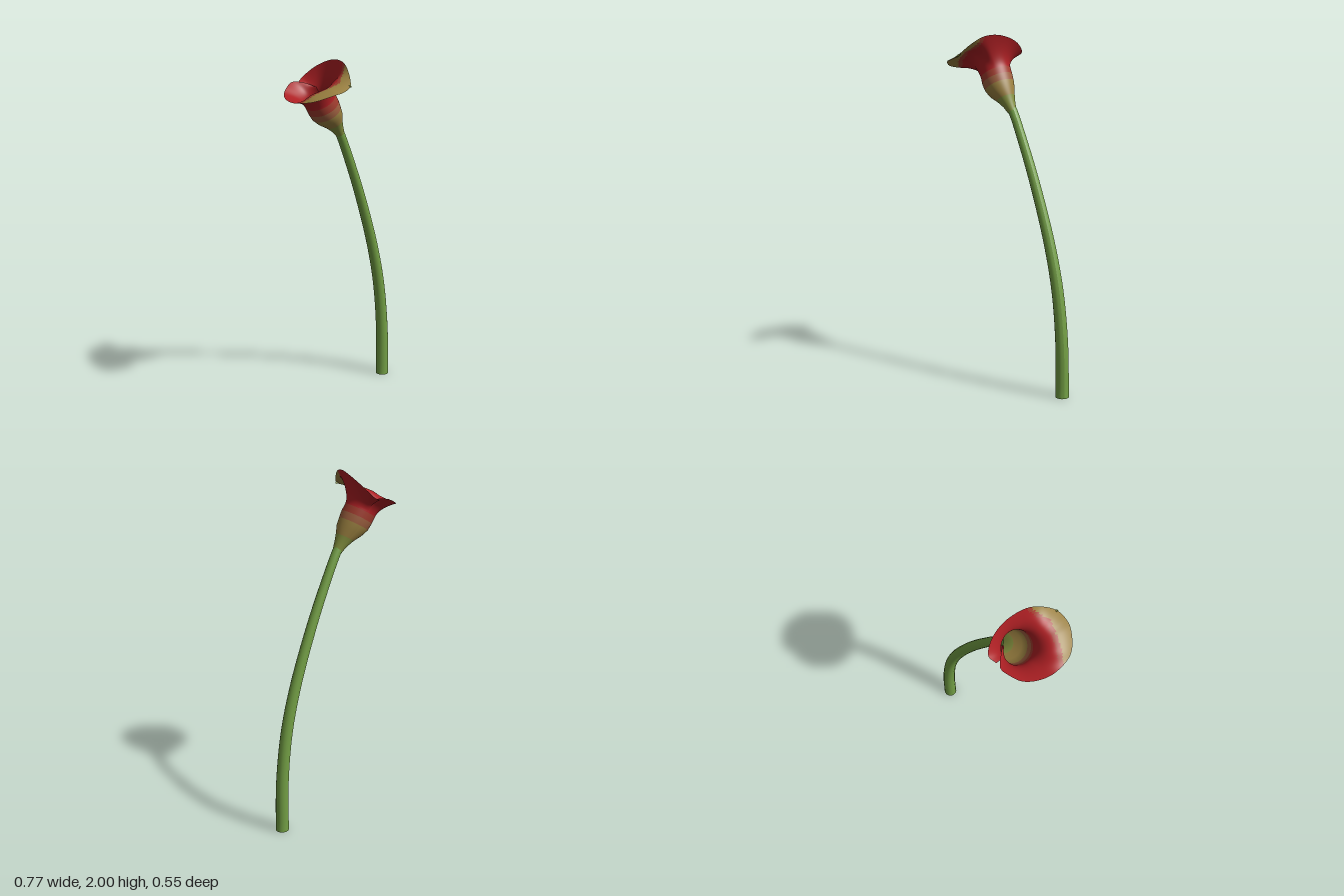
import * as THREE from 'three';

const mat = (name, color) => new THREE.MeshStandardMaterial({ name, color, side: THREE.DoubleSide });
const V = (x, y, z) => new THREE.Vector3(x, y, z);

// Surface through rows of points; pick(centre, row) chooses the material of each quad
function loft(rows, pick = () => 0, slots = 1) {
  const w = rows[0].length, lists = Array.from({ length: slots }, () => []);
  for (let r = 0; r < rows.length - 1; r++) {
    for (let c = 0; c < w - 1; c++) {
      const a = r * w + c, b = a + 1, d = a + w, e = d + 1;
      const mid = rows[r][c].clone().add(rows[r + 1][c + 1]).multiplyScalar(0.5);
      lists[pick(mid, r)].push(a, d, b, b, d, e);
    }
  }
  const geo = new THREE.BufferGeometry().setFromPoints(rows.flat());
  geo.setIndex(lists.flat());
  let start = 0;
  lists.forEach((l, i) => { geo.addGroup(start, l.length, i); start += l.length; });
  geo.computeVertexNormals();
  return geo;
}

export function createModel() {
  const group = new THREE.Group();
  const green = mat('stem green', 0x739f45);
  const olive = mat('neck olive', 0x84903f);
  const tan = mat('tan', 0x9a8040);
  const brown = mat('rosy brown', 0x9c5f3f);
  const rust = mat('rust red', 0xa03c2e);
  const red = mat('petal red', 0xab1f23);
  const add = (name, geo, material) => {
    const mesh = new THREE.Mesh(geo, material);
    mesh.name = name;
    group.add(mesh);
    return mesh;
  };

  // Curved, tapering stem lying in one upright plane
  const path = new THREE.CatmullRomCurve3([
    [0.342, 0], [0.336, 0.3], [0.303, 0.6], [0.24, 0.87], [0.13, 1.2], [0.042, 1.42], [-0.025, 1.57], [-0.055, 1.62],
  ].map(([x, y]) => V(x, y, -0.235 + (0.342 - x) * 0.48)));
  const stemRows = [];
  for (let i = 0; i <= 28; i++) {
    const t = i / 28, p = path.getPointAt(t), n = path.getTangentAt(t);
    if (i === 0) n.set(0, 1, 0);
    const u = V(1, 0, 0).addScaledVector(n, -n.x).normalize();
    const v = n.clone().cross(u);
    const r = 0.038 - 0.012 * Math.min(1, t * 1.1);
    stemRows.push(Array.from({ length: 17 }, (_, k) => {
      const a = -k / 16 * Math.PI * 2;
      return p.clone().addScaledVector(u, r * Math.cos(a)).addScaledVector(v, r * Math.sin(a));
    }));
  }
  add('stem', loft(stemRows), green);
  const cut = add('stemCut', new THREE.CircleGeometry(0.038, 16), green);
  cut.rotation.x = Math.PI / 2;
  cut.position.set(0.342, 0, -0.235);

  // Rim of the rolled petal, from the tucked inner edge round to the outer flap
  const rim = new THREE.CatmullRomCurve3([
    V(-0.16, 1.84, -0.07), V(-0.22, 1.865, -0.105), V(-0.28, 1.87, -0.13), V(-0.325, 1.85, -0.1),
    V(-0.365, 1.82, -0.05), V(-0.385, 1.803, 0.03), V(-0.378, 1.798, 0.12), V(-0.32, 1.815, 0.23),
    V(-0.21, 1.85, 0.275), V(-0.16, 1.862, 0.272), V(-0.11, 1.885, 0.245), V(-0.085, 1.95, 0.17),
    V(-0.08, 1.99, 0.1), V(-0.088, 2.0, 0.03), V(-0.108, 1.985, -0.05), V(-0.15, 1.945, -0.125),
    V(-0.205, 1.89, -0.163), V(-0.243, 1.865, -0.138),
  ]);
  // Cup cross-sections: centre x, y, z and radius
  const cup = [
    [-0.03, 1.575, -0.054, 0.026], [-0.053, 1.61, -0.043, 0.036], [-0.08, 1.645, -0.031, 0.053],
    [-0.108, 1.677, -0.018, 0.074], [-0.135, 1.71, -0.01, 0.086], [-0.155, 1.745, -0.003, 0.09],
    [-0.175, 1.78, 0, 0.089],
  ];
  const axis = V(-0.48, 0.85, 0.2).normalize();
  const last = cup.length - 1;
  const top = V(...cup[last].slice(0, 3));
  const N = 144, FLARE = 24;
  const rows = Array.from({ length: cup.length + FLARE }, () => []);
  for (let i = 0; i <= N; i++) {
    const end = rim.getPointAt(i / N);
    const dir = end.clone().sub(top).projectOnPlane(axis).normalize();
    const tuck = 0.9 + 0.1 * Math.min(1, i / N / 0.18);
    cup.forEach(([x, y, z, r], k) => rows[k].push(V(x, y, z).addScaledVector(dir, r * tuck)));
    // The front of the petal rises to a crest and curls back down
    const lift = 0.055 + 0.125 * THREE.MathUtils.smoothstep(end.z, 0.08, 0.25);
    const from = rows[last][i];
    const bend = new THREE.QuadraticBezierCurve3(from, from.clone().addScaledVector(axis, lift), end);
    for (let k = 1; k <= FLARE; k++) rows[last + k].push(bend.getPoint(k / FLARE));
  }
  // Neck bands fade to red; the curled front is tan
  const bands = [0, 0, 1, 1, 2, 3];
  const pick = (p, r) => {
    if (r < bands.length) return bands[r];
    const edge = p.z - 0.18 + Math.max(0, p.x + 0.15) * 1.1 + Math.max(0, -0.28 - p.x) * 0.25;
    return edge > 0.012 ? 1 : edge > -0.012 ? 3 : 4;
  };
  add('petal', loft(rows, pick, 5), [olive, tan, brown, rust, red]);

  // Small pointed tip on the petal edge
  const tip = add('petalTip', new THREE.ConeGeometry(0.008, 0.02, 8), olive);
  tip.position.set(-0.108, 1.885, 0.244);
  tip.rotation.x = Math.PI * 0.6;

  return group;
}
